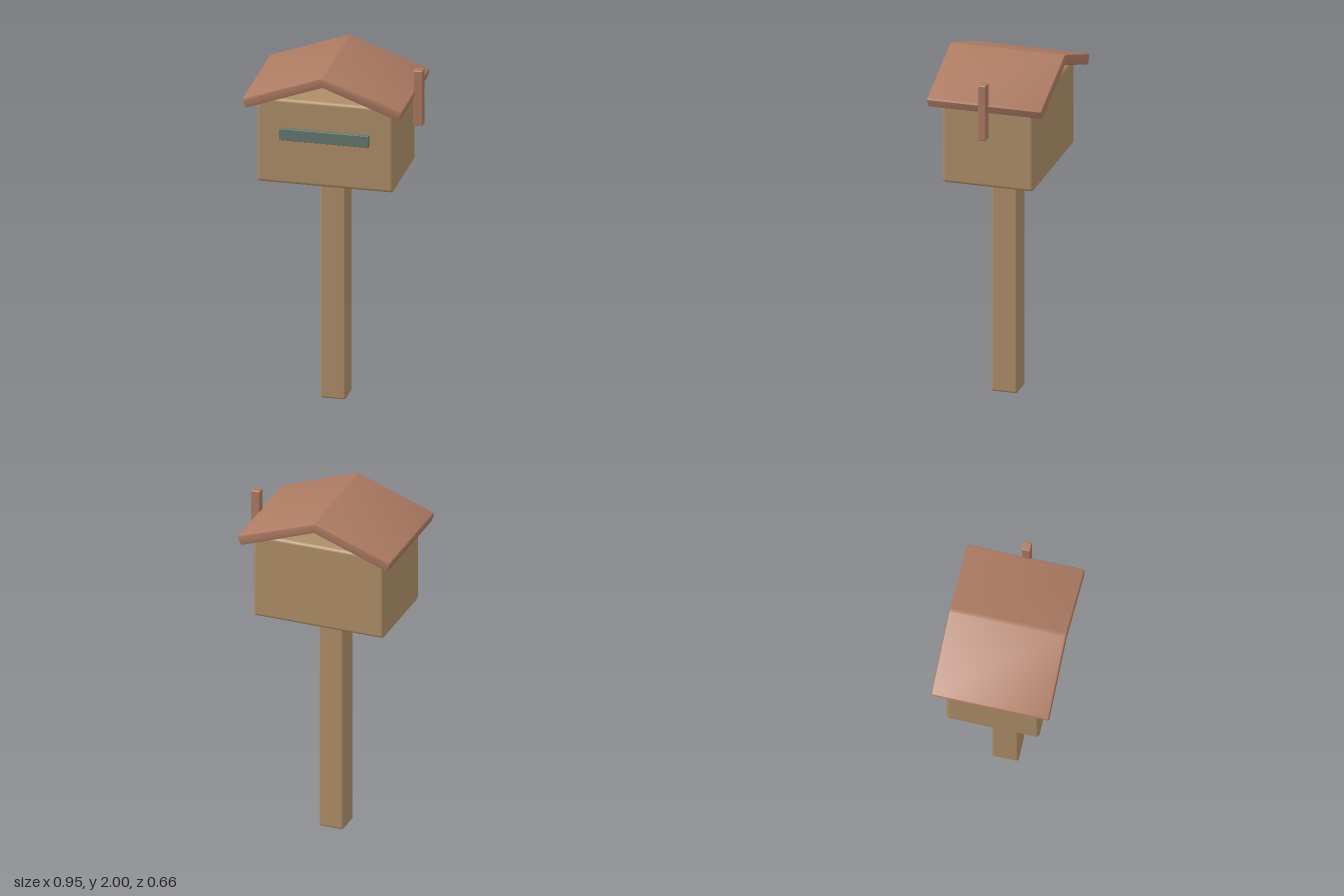
import * as THREE from 'three';
import { RoundedBoxGeometry } from 'three/addons/geometries/RoundedBoxGeometry.js';
import { toCreasedNormals } from 'three/addons/utils/BufferGeometryUtils.js';

const paint = (color) => new THREE.MeshStandardMaterial({ color });

export function createModel() {
  const group = new THREE.Group();
  const wood = paint(0xae8e68), clay = paint(0xac7a62), slate = paint(0x66776f);
  const cx = -0.02; // post, box and roof share this axis; the flag balances it

  const block = (name, w, h, d, r, x, y, z, material) => {
    const mesh = new THREE.Mesh(new RoundedBoxGeometry(w, h, d, 3, r), material);
    mesh.position.set(x, y, z);
    mesh.name = name;
    group.add(mesh);
  };

  block('post', 0.146, 1.345, 0.15, 0.014, cx, 0.6725, 0, wood);
  block('box', 0.77, 0.5, 0.524, 0.02, cx, 1.576, 0, wood);
  block('mailSlot', 0.505, 0.068, 0.026, 0.003, -0.022, 1.625, 0.271, slate);
  block('flag', 0.054, 0.324, 0.048, 0.007, 0.447, 1.803, 0, clay);

  // Gable roof: one chevron profile, eaves cut square to the slope
  const a = THREE.MathUtils.degToRad(20), s = Math.sin(a), c = Math.cos(a);
  const thick = 0.06, length = 0.483, b = 0.008;
  const half = [
    [0.009, 2 - 0.001],
    [(length - b) * c, 2.002 - (length - b) * s],
    [length * c - b * s, 2.002 - length * s - b * c],
    [length * c - (thick - b) * s, 2.002 - length * s - (thick - b) * c],
    [(length - b) * c - thick * s, 2.002 - (length - b) * s - thick * c],
  ];
  const outline = [
    ...half,
    [0, 2.002 - thick / c],
    ...half.map(([x, y]) => [-x, y]).reverse(),
  ].map(([x, y]) => new THREE.Vector2(x, y));
  const bevel = 0.01, depth = 0.66;
  const roofGeometry = new THREE.ExtrudeGeometry(new THREE.Shape(outline), {
    depth: depth - 2 * bevel, bevelEnabled: true, bevelThickness: bevel,
    bevelSize: bevel, bevelOffset: -bevel, bevelSegments: 2,
  });
  roofGeometry.translate(cx, 0, -depth / 2 + bevel);
  const roof = new THREE.Mesh(toCreasedNormals(roofGeometry, 0.5), clay);
  roof.name = 'roof';
  group.add(roof);

  return group;
}
